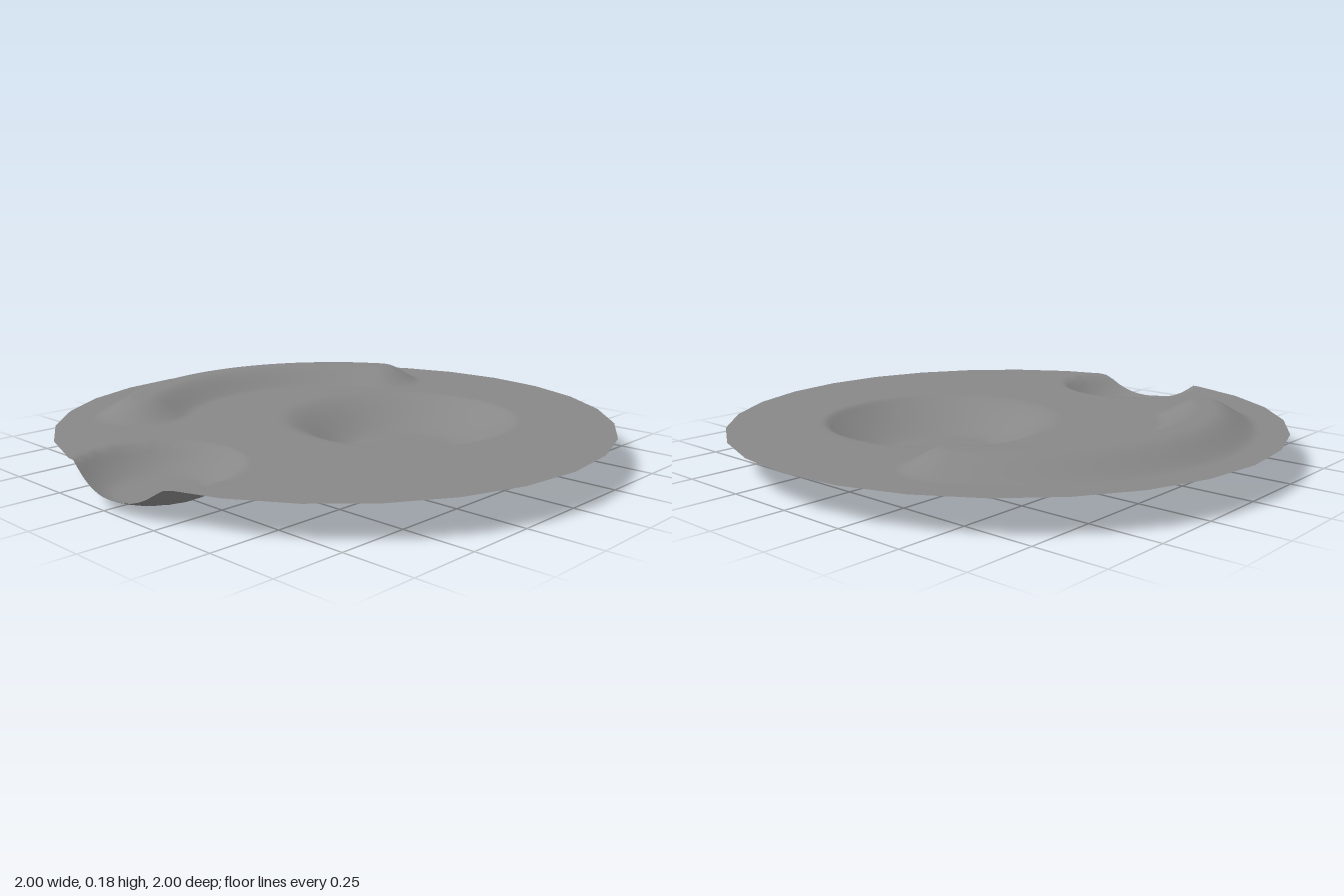
import * as THREE from 'three';

const BASE = 0.115, SIDES = 28;

// 0 inside r0, 1 outside r1; sharp = 1 leaves a crease at the outer rim
function wall(r, r0, r1, sharp) {
  const t = THREE.MathUtils.clamp((r - r0) / (r1 - r0), 0, 1);
  return THREE.MathUtils.lerp(t * t * (3 - 2 * t), t ** 1.6, sharp);
}

// Large bowl: soft, wider rim towards the back right, crisp rim towards the front left
function largeBowl(x, z) {
  const dx = x - 0.175, dz = z - 0.175, r = Math.hypot(dx, dz);
  const sharp = r > 0 ? THREE.MathUtils.clamp(0.5 + 0.5 * (dx + dz) / r, 0, 1) : 0;
  return -BASE * (1 - wall(r, 0.18, 0.45 - 0.04 * sharp, sharp));
}

// Small bowl, cut open by the edge of the disc
function smallBowl(x, z) {
  return -0.087 * (1 - wall(Math.hypot(x + 0.82, z - 0.03), 0.14, 0.27, 1));
}

// Raised curved ridge: distance from an arc with round ends
function ridge(x, z) {
  const cz = -0.02, R = 0.7;
  const a0 = Math.atan2(0.32, 0.625), a1 = Math.atan2(0.53, -0.48);
  const a = THREE.MathUtils.clamp(Math.atan2(cz - z, x), a0, a1);
  const nearest = z < 0.1 ? a : (x > 0 ? a0 : a1);
  const d = Math.hypot(x - R * Math.cos(nearest), z - cz + R * Math.sin(nearest));
  return 0.065 * (1 - wall(d, 0.03, 0.165, 0.5));
}

// Radius of the slightly faceted outline
function outline(angle) {
  const step = (2 * Math.PI) / SIDES;
  const local = (angle % step) - step / 2;
  return Math.cos(step / 2) / Math.cos(local);
}

export function createModel() {
  const group = new THREE.Group();
  group.name = 'dishedDisc';

  // Thin disc of concentric rings, displaced by the bowls and the ridge
  const rings = 72, segs = 196;
  const pos = [0, BASE + largeBowl(0, 0), 0], index = [];
  for (let i = 1; i <= rings; i++) {
    for (let j = 0; j < segs; j++) {
      const a = (j / segs) * Math.PI * 2;
      const r = (i / rings) * outline(a);
      const x = r * Math.cos(a), z = r * Math.sin(a);
      pos.push(x, BASE + largeBowl(x, z) + smallBowl(x, z) + ridge(x, z), z);
    }
  }
  const at = (i, j) => 1 + (i - 1) * segs + (j % segs);
  for (let j = 0; j < segs; j++) {
    index.push(0, at(1, j + 1), at(1, j));
    for (let i = 1; i < rings; i++) {
      index.push(at(i, j), at(i, j + 1), at(i + 1, j));
      index.push(at(i, j + 1), at(i + 1, j + 1), at(i + 1, j));
    }
  }
  const geometry = new THREE.BufferGeometry();
  geometry.setAttribute('position', new THREE.Float32BufferAttribute(pos, 3));
  geometry.setIndex(index);
  geometry.computeVertexNormals();

  // Soften the shading of the walls
  const normal = geometry.attributes.normal;
  for (let i = 0; i < normal.count; i++) normal.setY(i, normal.getY(i) * 1.3);
  geometry.normalizeNormals();

  const disc = new THREE.Mesh(geometry,
    new THREE.MeshStandardMaterial({ color: 0x878787, side: THREE.DoubleSide }));
  disc.name = 'disc';
  group.add(disc);
  return group;
}
